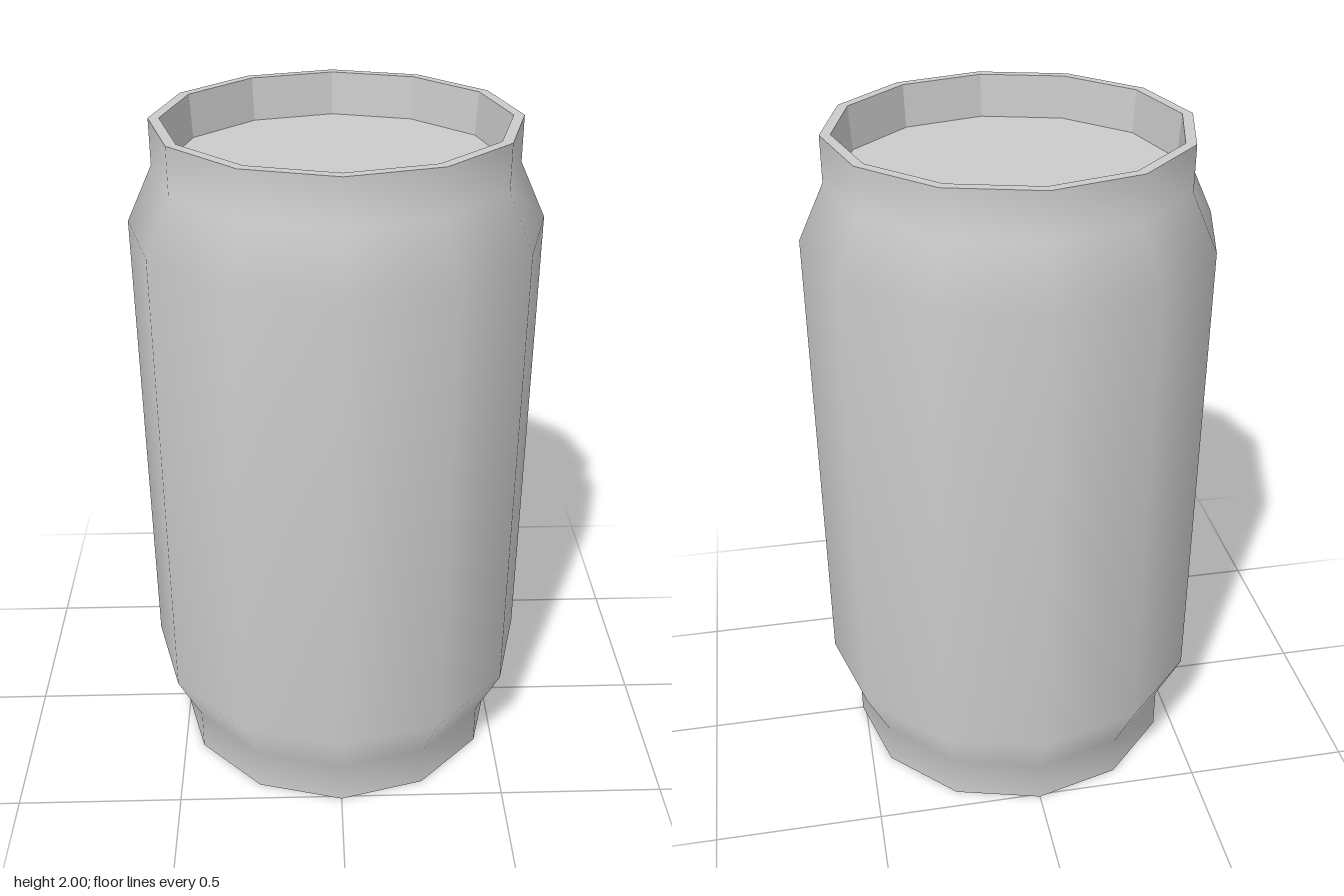
import * as THREE from 'three';

const SIDES = 12;
const smooth = new THREE.MeshStandardMaterial({ color: 0xcccccc });
const flat = new THREE.MeshStandardMaterial({ color: 0xcccccc, flatShading: true });

// Twelve-sided turned part; profile points [radius, height] run upwards on the outside
function turned(name, profile, material) {
  const points = profile.map(([r, y]) => new THREE.Vector2(r, y));
  const mesh = new THREE.Mesh(new THREE.LatheGeometry(points, SIDES), material);
  mesh.name = name;
  return mesh;
}

export function createModel() {
  const can = new THREE.Group();
  can.name = 'can';

  // Smooth outer wall with tapered shoulders and straight necks
  can.add(turned('body', [
    [0.51, 0], [0.51, 0.13], [0.585, 0.29],
    [0.585, 1.71], [0.51, 1.87], [0.51, 2],
  ], smooth));

  // Faceted rims with slightly sloped inner walls
  const rim = [[0.51, 2], [0.48, 2], [0.472, 1.875]];
  const lid = [[0.472, 1.875], [0, 1.875]];
  const mirrored = (profile) => profile.map(([r, y]) => [r, 2 - y]).reverse();
  can.add(turned('topRim', rim, flat));
  can.add(turned('bottomRim', mirrored(rim), flat));

  // Recessed end discs
  can.add(turned('lid', lid, flat));
  can.add(turned('base', mirrored(lid), flat));

  return can;
}
